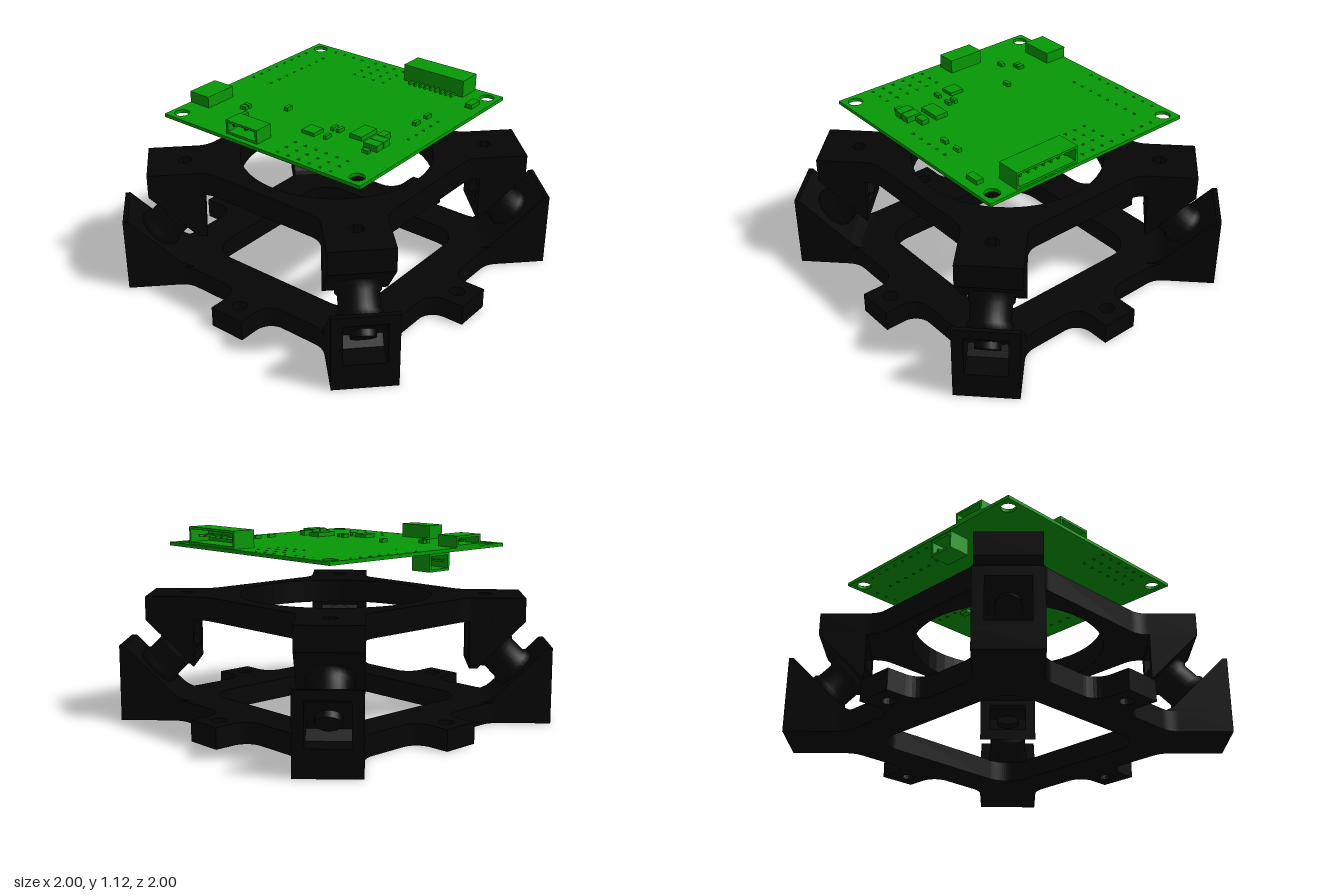
import * as THREE from 'three';

const black = new THREE.MeshStandardMaterial({ color: 0x050505 });
const green = new THREE.MeshStandardMaterial({ color: 0x069a06 });

function add(parent, name, geometry, material) {
  const mesh = new THREE.Mesh(geometry, material);
  mesh.name = name;
  parent.add(mesh);
  return mesh;
}

// Board part given by its lower and upper limits
function box(parent, name, x0, x1, y0, y1, z0, z1) {
  const mesh = add(parent, name, new THREE.BoxGeometry(x1 - x0, y1 - y0, z1 - z0), green);
  mesh.position.set((x0 + x1) / 2, (y0 + y1) / 2, (z0 + z1) / 2);
}

// Extrudes a plan drawn in (x, z) from y0 up to y1
function slab(shape, y0, y1) {
  const g = new THREE.ExtrudeGeometry(shape, { depth: y1 - y0, bevelEnabled: false, curveSegments: 10 });
  return g.rotateX(Math.PI / 2).translate(0, y1, 0);
}

function polygonHole(x, z, r, n) {
  const pts = [];
  for (let i = 0; i < n; i++) {
    const a = (i / n) * Math.PI * 2;
    pts.push(new THREE.Vector2(x + r * Math.cos(a), z + r * Math.sin(a)));
  }
  return new THREE.Path(pts);
}

function roundedSquareHole(h, r) {
  const p = new THREE.Path();
  for (let k = 0; k < 4; k++) {
    const a = (k * Math.PI) / 2, m = a + Math.PI / 4, d = (h - r) * Math.SQRT2;
    p.absarc(d * Math.cos(m), d * Math.sin(m), r, a, a + Math.PI / 2, false);
  }
  p.closePath();
  return p;
}

// Square frame outline with a diagonal arm at each corner and optional ears on each side
function frameShape(half, arm, ears) {
  const shape = new THREE.Shape();
  const w = 0.25, f = 0.06; // arm side line offset, fillet length
  const lo = (arm * Math.SQRT2 - w) / 2, hi = lo + w;
  const bend = half - w;
  for (let k = 0; k < 4; k++) {
    const a = (k * Math.PI) / 2, c = Math.cos(a), s = Math.sin(a);
    const at = (u, v) => [u * c - v * s, u * s + v * c];
    const line = (u, v) => shape.lineTo(...at(u, v));
    const bow = (u, v, u2, v2) => shape.quadraticCurveTo(...at(u, v), ...at(u2, v2));
    if (k === 0) shape.moveTo(...at(half, -bend + f)); else line(half, -bend + f);
    if (ears) {
      const o = 0.1;
      line(half, -0.11 - o);
      for (let i = 1; i <= 8; i++) {
        const t = (i / 8) * Math.PI / 2;
        line(half + o - o * Math.cos(t), -0.11 - o + o * Math.sin(t));
      }
      line(0.967, -0.11);
      line(0.967, 0.11);
      for (let i = 0; i <= 8; i++) {
        const t = (1 - i / 8) * Math.PI / 2;
        line(half + o - o * Math.cos(t), 0.11 + o - o * Math.sin(t));
      }
    }
    line(half, bend - f);
    bow(half, bend, half + f * 0.7, bend + f * 0.7);
    line(hi, lo);
    line(lo, hi);
    line(bend + f * 0.7, half + f * 0.7);
    bow(bend, half, bend - f, half);
  }
  return shape;
}

// Wedge across the arm: solid cheeks, and a middle with a pocket cut into its straight face
function wedge(parent, name, outline, pocket) {
  const group = new THREE.Group();
  group.name = name;
  parent.add(group);
  const slice = (profile, z0, z1) => {
    const shape = new THREE.Shape(profile.map(([d, y]) => new THREE.Vector2(d, y)));
    const g = new THREE.ExtrudeGeometry(shape, { depth: z1 - z0, bevelEnabled: false });
    add(group, name + 'Slice', g.translate(0, 0, z0), black);
  };
  slice(outline, -0.177, -0.115);
  slice([...outline, ...pocket], -0.115, 0.115);
  slice(outline, 0.115, 0.177);
}

// Open-fronted connector housing, opening along local +z
function socket(parent, name, w, h, depth, pins, x, y, z, turn) {
  const g = new THREE.Group();
  g.name = name;
  const t = 0.014, a = w / 2, b = depth / 2;
  box(g, 'socketFloor', -a, a, 0, t, -b, b);
  box(g, 'socketRoof', -a, a, h - t, h, -b, b);
  box(g, 'socketBack', -a, a, t, h - t, -b, -b + t);
  for (const s of [-1, 1]) {
    const m = s * (a - t / 2);
    box(g, 'socketSide', m - t / 2, m + t / 2, t, h - t, -b + t, b);
  }
  for (let i = 0; i < pins; i++) {
    const p = (i - (pins - 1) / 2) * (w * 0.75) / Math.max(1, pins - 1);
    box(g, 'contactPin', p - 0.006, p + 0.006, h / 2 - 0.006, h / 2 + 0.006, -b + t, b - 0.03);
  }
  g.position.set(x, y, z);
  g.rotation.y = turn;
  parent.add(g);
}

export function createModel() {
  const model = new THREE.Group();
  model.name = 'dampedBoardMount';

  // Lower frame
  const lower = frameShape(0.75, 1.237, true);
  lower.holes.push(roundedSquareHole(0.53, 0.16));
  for (const [x, z] of [[0.86, 0], [-0.86, 0], [0, 0.86], [0, -0.86]]) lower.holes.push(polygonHole(x, z, 0.043, 20));
  add(model, 'lowerFrame', slab(lower, 0, 0.12), black);

  // Upper frame with a round opening
  const upper = frameShape(0.65, 1.08, false);
  upper.holes.push(polygonHole(0, 0, 0.555, 48));
  for (const x of [-0.615, 0.615]) for (const z of [-0.615, 0.615]) upper.holes.push(polygonHole(x, z, 0.042, 6));
  add(model, 'upperFrame', slab(upper, 0.59, 0.725), black);

  // Corner wedges with slanted dampers between them
  const spool = [[0, -0.099], [0.125, -0.099], [0.125, -0.06], [0.112, -0.045], [0.112, 0.045], [0.125, 0.06], [0.125, 0.099], [0, 0.099]];
  for (let k = 0; k < 4; k++) {
    const corner = new THREE.Group();
    corner.name = 'damperCorner';
    corner.rotation.y = Math.PI / 4 + (k * Math.PI) / 2;
    model.add(corner);
    wedge(corner, 'lowerWedge',
      [[1.237, 0.12], [0.83, 0.12], [0.87, 0.125], [0.9, 0.138], [0.93, 0.16], [1.21, 0.44], [1.237, 0.44]],
      [[1.237, 0.387], [1.05, 0.2], [1.1, 0.15], [1.237, 0.15]]);
    // The back right corner block is slightly thicker
    const inner = k === 1 ? 0.765 : 0.808;
    wedge(corner, 'upperWedge',
      [[inner, 0.32], [0.812, 0.32], [1.08, 0.59], [inner, 0.59]],
      [[inner, 0.56], [0.88, 0.56], [0.93, 0.51], [inner, inner - 0.42]]);
    const damper = add(corner, 'damper',
      new THREE.LatheGeometry(spool.map(([r, y]) => new THREE.Vector2(r, y)), 28), black);
    damper.position.set(0.98, 0.35, 0);
    damper.rotation.z = Math.PI / 4;
    // Fastener heads inside the pockets
    for (const [d, y] of [[1.14, 0.265], [0.86, 0.455]]) {
      const head = add(corner, 'fastenerHead', new THREE.CylinderGeometry(0.07, 0.07, 0.04, 20), black);
      head.position.set(d, y, 0);
      head.rotation.z = Math.PI / 4;
    }
  }

  // Circuit board with mounting holes and pin holes
  const board = new THREE.Group();
  board.name = 'circuitBoard';
  model.add(board);
  const e = 0.68;
  const plan = new THREE.Shape([[-e, -e], [e, -e], [e, e], [-e, e]].map(([x, z]) => new THREE.Vector2(x, z)));
  for (const x of [-0.612, 0.612]) for (const z of [-0.612, 0.612]) plan.holes.push(polygonHole(x, z, 0.042, 16));
  const pinGrids = [ // x, z, columns, rows
    [0.01, -0.64, 8, 3], [0.625, -0.5, 1, 4], [0.42, -0.195, 4, 4], [-0.645, 0.12, 3, 6], [-0.11, 0.57, 5, 1],
  ];
  for (const [x, z, nx, nz] of pinGrids) {
    for (let i = 0; i < nx; i++) for (let j = 0; j < nz; j++) plan.holes.push(polygonHole(x + i * 0.07, z + j * 0.07, 0.012, 3));
  }
  add(board, 'boardPlate', slab(plan, 1.0, 1.02), green);

  // Connectors
  const q = Math.PI / 2;
  socket(board, 'longSocket', 0.41, 0.1, 0.14, 7, 0.6, 1.02, 0.295, q);
  for (let i = 0; i < 9; i++) box(board, 'socketLead', 0.49, 0.53, 1.02, 1.035, 0.15 + i * 0.036, 0.162 + i * 0.036);
  socket(board, 'sideSocket', 0.22, 0.08, 0.11, 3, -0.595, 1.02, -0.13, -q);
  socket(board, 'dataPort', 0.2, 0.065, 0.14, 1, -0.375, 1.02, -0.61, Math.PI);
  socket(board, 'undersideSocket', 0.16, 0.1, 0.13, 2, -0.145, 0.9, -0.605, Math.PI);

  // Surface parts: x, z, width, length, height (negative heights hang below)
  const parts = [
    [-0.355, 0.115, 0.08, 0.085, 0.02], [-0.215, 0.35, 0.135, 0.08, 0.025], [-0.31, 0.485, 0.055, 0.09, 0.035],
    [-0.25, 0.485, 0.055, 0.09, 0.035], [-0.18, 0.46, 0.06, 0.045, 0.03], [-0.37, 0.485, 0.025, 0.04, 0.02],
    [-0.255, 0.185, 0.045, 0.02, 0.02], [-0.255, 0.225, 0.045, 0.02, 0.02], [-0.36, 0.22, 0.045, 0.02, 0.02],
    [-0.215, -0.175, 0.045, 0.025, 0.02], [-0.36, -0.375, 0.025, 0.04, 0.02], [-0.33, -0.375, 0.025, 0.04, 0.02],
    [-0.43, -0.31, 0.04, 0.025, 0.02], [0.07, 0.495, 0.045, 0.025, 0.02], [0.18, 0.495, 0.045, 0.025, 0.02],
    [0.465, 0.605, 0.085, 0.045, 0.025],
    [-0.28, 0.38, 0.06, 0.06, -0.035], [-0.12, 0.2, 0.05, 0.04, -0.03], [0.02, 0.3, 0.04, 0.03, -0.025],
    [0.1, -0.05, 0.06, 0.08, -0.03], [0.18, -0.27, 0.04, 0.06, -0.03], [-0.02, 0.1, 0.04, 0.05, -0.025],
    [0.3, -0.15, 0.05, 0.03, -0.02], [0.42, 0.05, 0.06, 0.04, -0.02],
  ];
  for (const [x, z, w, l, h] of parts) {
    const y = h > 0 ? 1.02 : 1.0;
    box(board, 'surfacePart', x - w / 2, x + w / 2, Math.min(y, y + h), Math.max(y, y + h), z - l / 2, z + l / 2);
  }
  return model;
}
